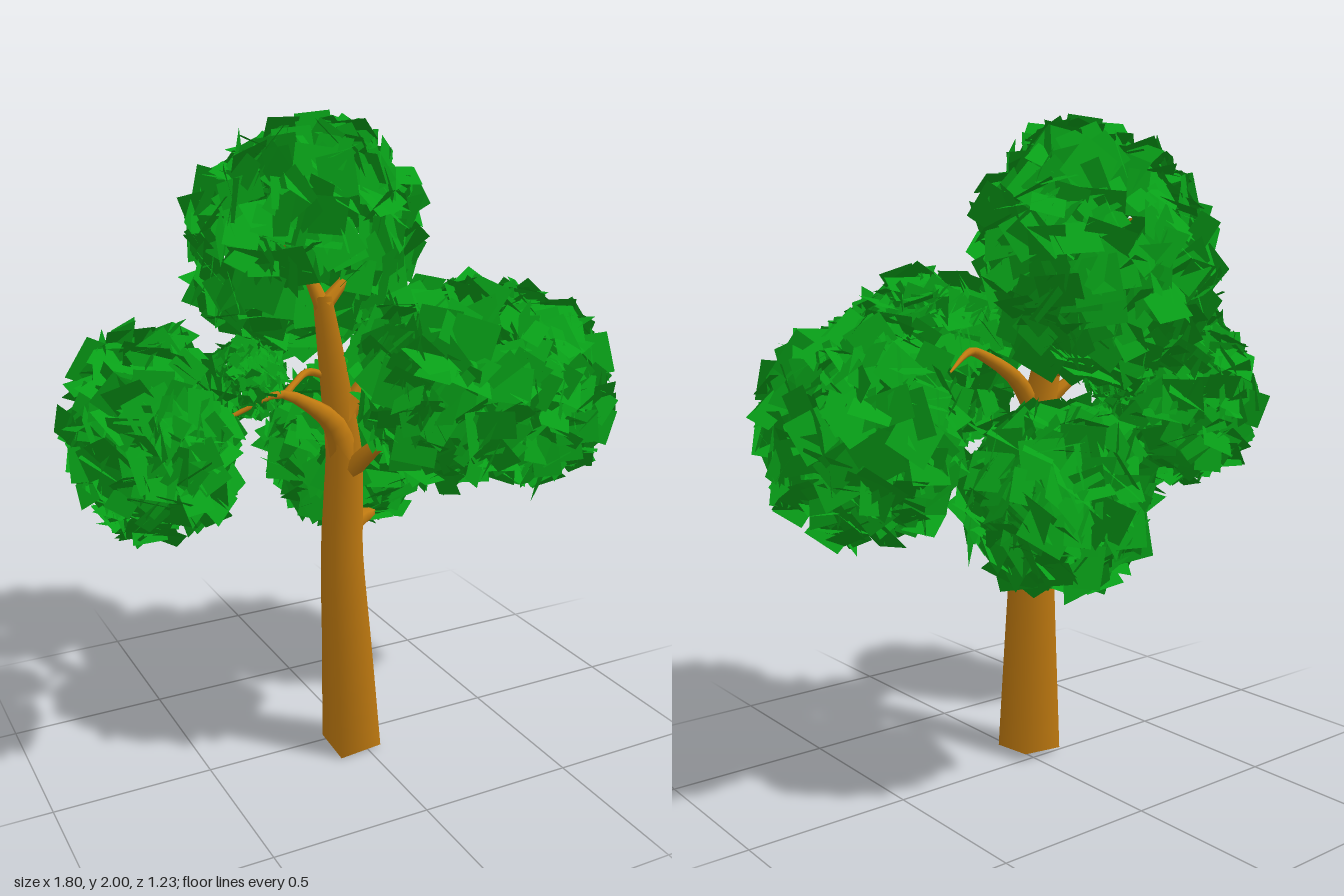
import * as THREE from 'three';
import { mergeGeometries } from 'three/addons/utils/BufferGeometryUtils.js';

const bark = new THREE.MeshStandardMaterial({ color: 0xc07a10 });
const leaf = new THREE.MeshStandardMaterial({ color: 0x08a018, side: THREE.DoubleSide });

// Small seeded generator so the foliage is repeatable
let seed = 7;
function rand() {
  seed = (seed * 1664525 + 1013904223) % 4294967296;
  return seed / 4294967296;
}
function randomDirection() {
  const y = rand() * 2 - 1, a = rand() * Math.PI * 2, r = Math.sqrt(1 - y * y);
  return new THREE.Vector3(r * Math.cos(a), y, r * Math.sin(a));
}

// Paths are lists of [x, y, z, radius]
const pathCurve = points => new THREE.CatmullRomCurve3(points.map(p => new THREE.Vector3(p[0], p[1], p[2])));
function radiusAt(points, t) {
  const s = t * (points.length - 1);
  const k = Math.min(Math.floor(s), points.length - 2);
  return THREE.MathUtils.lerp(points[k][3], points[k + 1][3], s - k);
}
function barkMesh(name, geo) {
  const mesh = new THREE.Mesh(geo, bark);
  mesh.name = name;
  return mesh;
}

// Square column bent along a path, each ring tilted square to the path
function makeTrunk(points) {
  const curve = pathCurve(points);
  const geo = new THREE.CylinderGeometry(1, 1, 1, 4, 24).rotateY(Math.PI / 4);
  const pos = geo.attributes.position;
  for (let i = 0; i < pos.count; i++) {
    const t = THREE.MathUtils.clamp(pos.getY(i) + 0.5, 0, 1);
    const c = curve.getPoint(t), d = curve.getTangent(t), r = radiusAt(points, t);
    const dx = pos.getX(i) * r, dz = pos.getZ(i) * r;
    pos.setXYZ(i, c.x + dx, c.y - (dx * d.x + dz * d.z) / d.y, c.z + dz);
  }
  return barkMesh('trunk', geo);
}

// Tapered round branch
function limb(name, points, sides = 7, segments = 16) {
  const curve = pathCurve(points);
  const geo = new THREE.TubeGeometry(curve, segments, 1, sides);
  const pos = geo.attributes.position;
  const v = new THREE.Vector3();
  for (let n = 0; n < pos.count; n++) {
    const u = Math.floor(n / (sides + 1)) / segments;
    const centre = curve.getPointAt(u);
    const radius = radiusAt(points, curve.getUtoTmapping(u));
    v.fromBufferAttribute(pos, n).sub(centre).multiplyScalar(radius).add(centre);
    pos.setXYZ(n, v.x, v.y, v.z);
  }
  return barkMesh(name, geo);
}

// Hollow ellipsoid of loose square leaves
function leafCluster({ name, at, radii, tilt = [0, 0, 0], count = 330, size = 0.115 }) {
  const leaves = [];
  const forward = new THREE.Vector3(0, 0, 1);
  const q = new THREE.Quaternion();
  for (let i = 0; i < count; i++) {
    const dir = randomDirection();
    const depth = 0.82 + 0.15 * rand();
    const normal = dir.clone().addScaledVector(randomDirection(), 0.85).normalize();
    const g = new THREE.PlaneGeometry(size * (0.7 + 0.5 * rand()), size * (0.7 + 0.5 * rand()));
    g.rotateZ(rand() * Math.PI * 2);
    g.applyQuaternion(q.setFromUnitVectors(forward, normal));
    g.translate(dir.x * radii[0] * depth, dir.y * radii[1] * depth, dir.z * radii[2] * depth);
    leaves.push(g);
  }
  const mesh = new THREE.Mesh(mergeGeometries(leaves), leaf);
  mesh.name = name;
  mesh.position.set(...at);
  mesh.rotation.set(...tilt);
  return mesh;
}

export function createModel() {
  const tree = new THREE.Group();
  tree.name = 'tree';

  tree.add(makeTrunk([
    [-0.03, 0.011, 0.06, 0.1], [-0.062, 0.38, 0.092, 0.083], [-0.093, 0.72, 0.122, 0.067],
    [-0.085, 0.88, 0.115, 0.063], [-0.068, 1.02, 0.085, 0.058], [-0.07, 1.16, 0.05, 0.05],
    [-0.07, 1.32, 0.0, 0.04], [-0.065, 1.46, -0.06, 0.03],
  ]));

  // Branches
  const branches = new THREE.Group();
  branches.name = 'branches';
  branches.add(
    limb('lowBranch', [[-0.09, 0.83, 0.12, 0.045], [-0.03, 0.78, 0.06, 0.038], [0.05, 0.75, -0.03, 0.028], [0.14, 0.73, -0.13, 0.016], [0.17, 0.82, -0.25, 0.002]]),
    limb('rightBranch', [[-0.065, 1.0, 0.09, 0.046], [-0.1, 1.11, 0.09, 0.036], [-0.18, 1.18, 0.08, 0.022], [-0.27, 1.22, 0.07, 0.012], [-0.42, 1.16, 0.04, 0.006], [-0.55, 1.15, 0.03, 0.002]]),
    limb('rightTwig', [[-0.25, 1.215, 0.07, 0.012], [-0.2, 1.235, 0.03, 0.01], [-0.13, 1.25, -0.02, 0.012], [-0.07, 1.23, 0.02, 0.012]]),
    limb('leftBranch', [[-0.07, 1.1, 0.07, 0.034], [0.02, 1.22, 0.06, 0.026], [0.18, 1.31, 0.04, 0.016], [0.28, 1.32, -0.04, 0.011], [0.42, 1.28, -0.15, 0.003]]),
    limb('frontBranch', [[-0.075, 0.95, 0.1, 0.036], [0.0, 1.06, 0.18, 0.022], [0.14, 1.2, 0.3, 0.003]]),
    limb('topLeftBranch', [[-0.065, 1.44, -0.05, 0.026], [0.03, 1.51, -0.09, 0.015], [0.17, 1.57, -0.21, 0.003]]),
    limb('topRightBranch', [[-0.065, 1.43, -0.05, 0.026], [-0.09, 1.53, -0.11, 0.018], [-0.16, 1.66, -0.18, 0.01], [-0.2, 1.71, -0.22, 0.003]]),
  );
  tree.add(branches);

  // Foliage
  const foliage = new THREE.Group();
  foliage.name = 'foliage';
  [
    { name: 'rightLeaves', at: [-0.64, 1.135, 0.02], radii: [0.22, 0.3, 0.3], tilt: [0, -0.12, 0.05] },
    { name: 'leftLeaves', at: [0.615, 1.12, 0], radii: [0.255, 0.32, 0.33] },
    { name: 'frontLeaves', at: [0.15, 1.27, 0.325], radii: [0.27, 0.285, 0.26] },
    { name: 'topLeaves', at: [-0.015, 1.605, -0.285], radii: [0.375, 0.385, 0.265], tilt: [0.42, 0, 0.25], count: 410 },
    { name: 'backLeaves', at: [0.145, 0.92, -0.28], radii: [0.28, 0.27, 0.26] },
    { name: 'smallLeaves', at: [-0.325, 1.25, -0.03], radii: [0.12, 0.12, 0.12], count: 450, size: 0.036 },
  ].forEach(c => foliage.add(leafCluster(c)));
  tree.add(foliage);

  return tree;
}
